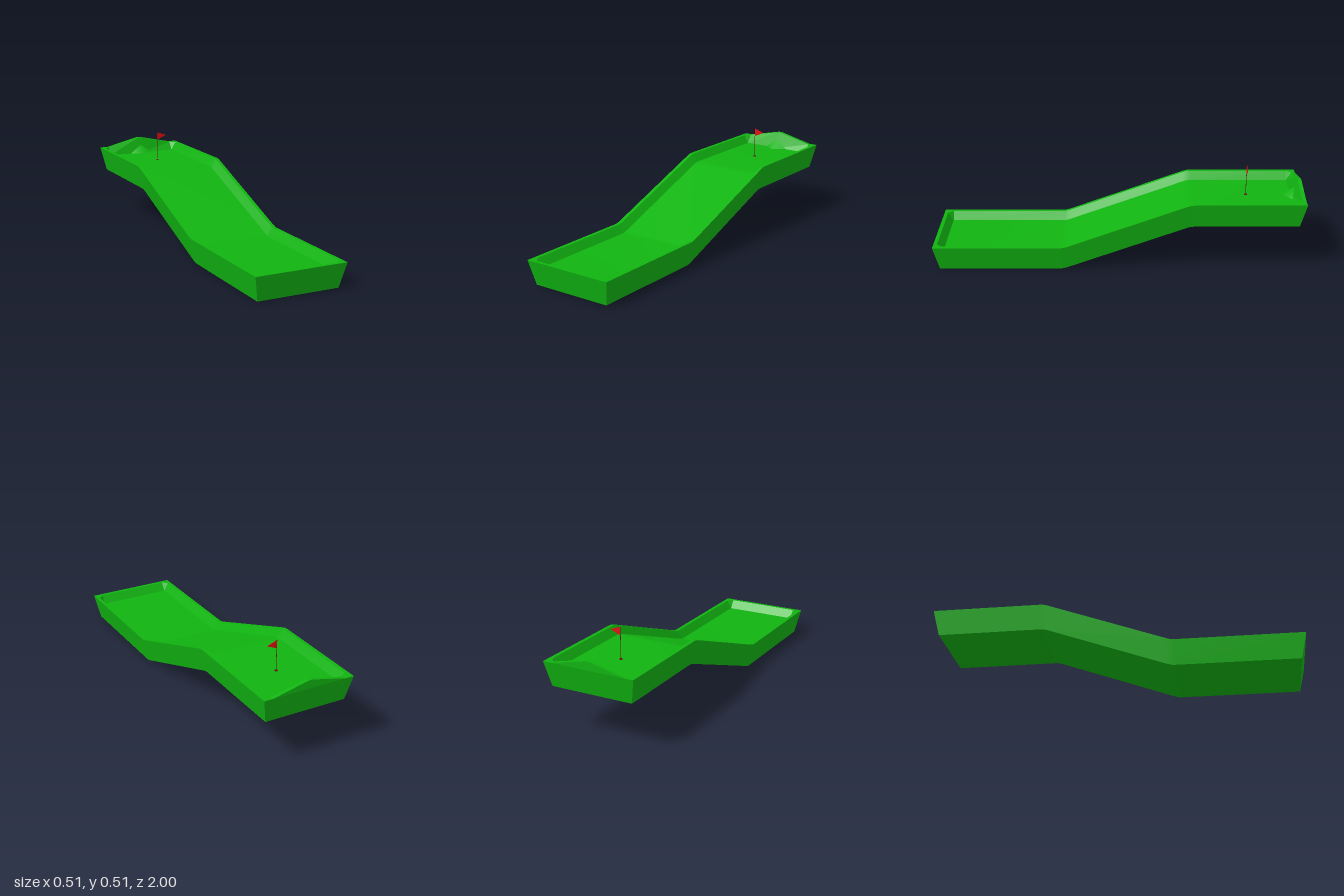
import * as THREE from 'three';
import { toCreasedNormals } from 'three/addons/utils/BufferGeometryUtils.js';

const GREEN = new THREE.MeshStandardMaterial({ color: 0x11b411 });
const RED = new THREE.MeshStandardMaterial({ color: 0xe01010 });
const POLE = new THREE.MeshStandardMaterial({ color: 0x6b1414 });

const WALL = 0.135, FLOOR = 0.09, RISE = 0.25, PEAK = 0.045;

// Skins neighbouring lines of points with triangles, skipping collapsed ones
function loft(lines, out) {
  const tri = (a, b, c) => {
    const t = new THREE.Triangle(...[a, b, c].map(p => new THREE.Vector3(...p)));
    if (t.getArea() > 1e-8) out.push(...a, ...b, ...c);
  };
  for (let i = 0; i < lines.length - 1; i++) {
    for (let j = 0; j < lines[i].length - 1; j++) {
      const a = lines[i][j], b = lines[i][j + 1];
      const c = lines[i + 1][j + 1], d = lines[i + 1][j];
      tri(a, b, c);
      tri(a, c, d);
    }
  }
}

function toMesh(name, positions, material, crease = 0.45) {
  const g = new THREE.BufferGeometry();
  g.setAttribute('position', new THREE.Float32BufferAttribute(positions, 3));
  const mesh = new THREE.Mesh(toCreasedNormals(g, crease), material);
  mesh.name = name;
  return mesh;
}

// Long sides, rims, floor and underside follow the ramp from front to back
function laneBody() {
  const out = [];
  const bends = [[0.31, 0], [0.295, 0.002], [0.275, 0.008],
    [-0.365, 0.242], [-0.385, 0.248], [-0.405, RISE]];
  // x, height above the underside, z reach of each end
  const half = [[0.227, 0, 0.97], [0.255, WALL, 1], [0.235, WALL, 0.95], [0.207, FLOOR, 0.95]];
  const mirrored = half.map(([x, y, z]) => [-x, y, z]).reverse();
  const section = [...half, ...mirrored, half[0]];
  loft(section.map(([x, y, end]) =>
    [[end, 0], ...bends, [-end, RISE]].map(([z, lift]) => [x, y + lift, z])), out);
  return toMesh('laneBody', out, GREEN);
}

// End wall with chamfered inner corners; the back one has a raised centre
function endWall(name, s, base, peak) {
  const out = [];
  const row = (xs, ys, zs) => xs.map((x, i) => [s * x, base + ys[i], s * zs[i]]);
  const all = v => Array(6).fill(v);
  const outerX = [-0.255, -0.207, -0.012, 0.012, 0.207, 0.255];
  const innerX = [-0.235, -0.207, -0.012, 0.012, 0.207, 0.235];
  const bottomX = [-0.227, -0.207, -0.012, 0.012, 0.207, 0.227];
  const floorX = [-0.207, -0.207, -0.012, 0.012, 0.207, 0.207];
  const top = [0, 0, peak, peak, 0, 0].map(v => WALL + v);
  loft([
    row(bottomX, all(0), all(0.97)),
    row(outerX, all(WALL), all(1)),
    row(outerX, top, all(1)),
    row(innerX, top, [0.95, 0.98, 0.98, 0.98, 0.98, 0.95]),
    row(floorX, all(FLOOR), all(0.95)),
  ], out);
  return toMesh(name, out, GREEN, 0.2);
}

// Small mound where the back wall meets the floor
function mound() {
  const y = RISE + FLOOR, out = [];
  const apex = [0, y + 0.045, -0.964];
  loft([
    [[-0.07, y, -0.95], [0, y, -0.9], [0.07, y, -0.95]],
    [apex, apex, apex],
  ], out);
  return toMesh('mound', out, GREEN, 1.2);
}

// Hole marker, pole and pennant
function flag() {
  const group = new THREE.Group();
  group.name = 'flag';
  const add = (name, geometry, material, y) => {
    const mesh = new THREE.Mesh(geometry, material);
    mesh.name = name;
    mesh.position.y = y;
    group.add(mesh);
  };
  add('hole', new THREE.CylinderGeometry(0.009, 0.009, 0.002, 16), POLE, 0.001);
  add('pole', new THREE.CylinderGeometry(0.0015, 0.0015, 0.17, 8), POLE, 0.085);
  const shape = new THREE.Shape([[0, 0.125], [0.057, 0.15], [0, 0.17]]
    .map(p => new THREE.Vector2(...p)));
  const pennant = new THREE.ExtrudeGeometry(shape, { depth: 0.002, bevelEnabled: false });
  add('pennant', pennant.translate(0, 0, -0.001), RED, 0);
  group.position.set(0, RISE + FLOOR, -0.7);
  return group;
}

export function createModel() {
  const model = new THREE.Group();
  model.name = 'miniGolfLane';
  model.add(
    laneBody(),
    endWall('frontWall', 1, 0, 0),
    endWall('backWall', -1, RISE, PEAK),
    mound(),
    flag(),
  );
  return model;
}
